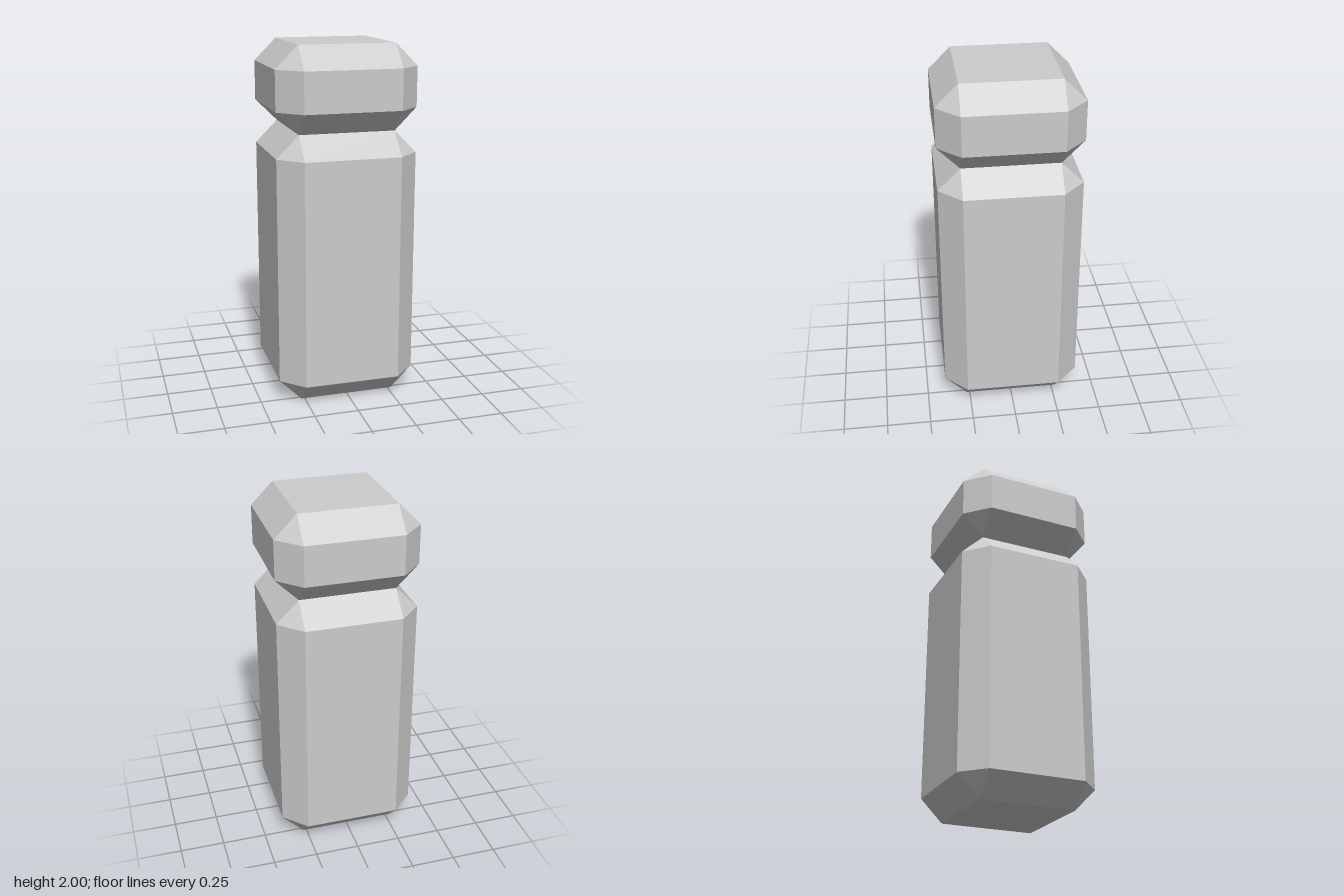
import * as THREE from 'three';
import { ConvexGeometry } from 'three/addons/geometries/ConvexGeometry.js';

const material = new THREE.MeshStandardMaterial({ color: 0xcccccc, flatShading: true });
const HALF = 0.394; // half width and depth
const BEVEL = 0.125; // chamfer on every edge

// Box with all edges chamfered: hull of the six inset faces
function chamferedBox(name, y0, y1) {
  const half = [HALF, (y1 - y0) / 2, HALF];
  const points = [];
  for (let axis = 0; axis < 3; axis++) {
    for (const sx of [-1, 1]) for (const sy of [-1, 1]) for (const sz of [-1, 1]) {
      const p = [sx, sy, sz].map((s, i) => s * (i === axis ? half[i] : half[i] - BEVEL));
      points.push(new THREE.Vector3(...p));
    }
  }
  const mesh = new THREE.Mesh(new ConvexGeometry(points), material);
  mesh.name = name;
  mesh.position.y = (y0 + y1) / 2;
  return mesh;
}

export function createModel() {
  const group = new THREE.Group();
  group.name = 'blockFigure';
  // Tall body with a shorter head resting on it
  group.add(chamferedBox('body', 0, 1.527), chamferedBox('head', 1.527, 2));
  return group;
}
